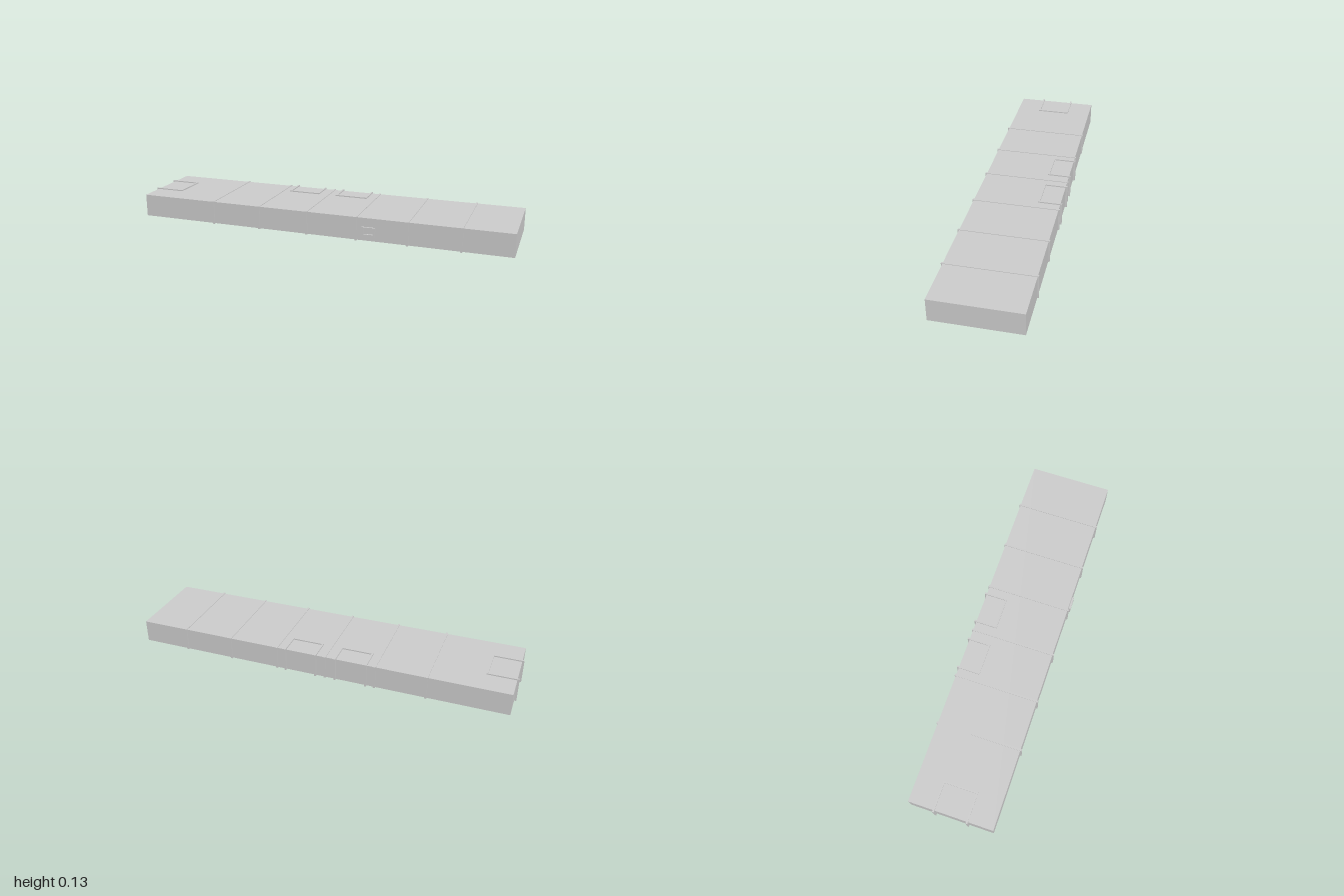
import * as THREE from 'three';

const material = new THREE.MeshStandardMaterial({ color: 0xcccccc });

// Body limits
const X0 = -0.99, X1 = 1, Y0 = 0.009, Y1 = 0.127, Z0 = -0.219, Z1 = 0.221;

// Box given by its lower and upper limits on each axis
function bar(parent, name, x0, x1, y0, y1, z0, z1) {
  const mesh = new THREE.Mesh(new THREE.BoxGeometry(x1 - x0, y1 - y0, z1 - z0), material);
  mesh.name = name;
  mesh.position.set((x0 + x1) / 2, (y0 + y1) / 2, (z0 + z1) / 2);
  parent.add(mesh);
}

function addGroup(parent, name) {
  const group = new THREE.Group();
  group.name = name;
  parent.add(group);
  return group;
}

// Thin strip round the slab, with a gap on the underside
function addBand(parent, x) {
  const g = addGroup(parent, 'band');
  const a = x - 0.005, b = x + 0.005, top = 0.13, low = 0.0065, back = -0.225, front = 0.228;
  bar(g, 'bandTop', a, b, Y1 - 0.002, top, back, front);
  bar(g, 'bandFront', a, b, low, top, Z1 - 0.002, front);
  bar(g, 'bandBack', a, b, low, top, back, Z0 + 0.002);
  bar(g, 'bandBottomLong', a, b, low, Y0 + 0.002, back, 0.082);
  bar(g, 'bandBottomShort', a, b, low, Y0 + 0.002, 0.157, front);
}

// U-shaped trim over the back edge: top, back and underside
function addBackTrim(parent, x0, x1) {
  const g = addGroup(parent, 'backTrim');
  const w = 0.009, inner = -0.105, back = -0.229, top = 0.133, low = 0.007;
  for (const [y0, y1] of [[Y1 - 0.002, top], [low, Y0 + 0.002]]) {
    bar(g, 'trimCrossbar', x0, x1, y0, y1, inner - w, inner);
    for (const x of [x0, x1 - w]) bar(g, 'trimArm', x, x + w, y0, y1, back, inner);
  }
  for (const x of [x0, x1 - w]) bar(g, 'trimUpright', x, x + w, low, top, back, Z0 + 0.002);
}

// The same trim over the narrow end
function addEndTrim(parent) {
  const g = addGroup(parent, 'endTrim');
  const w = 0.009, end = -1, inner = -0.84, z0 = -0.09, z1 = 0.092, top = 0.133, low = 0.007;
  for (const [y0, y1] of [[Y1 - 0.002, top], [low, Y0 + 0.002]]) {
    bar(g, 'trimCrossbar', inner - w, inner, y0, y1, z0, z1);
    for (const z of [z0, z1 - w]) bar(g, 'trimArm', end, inner, y0, y1, z, z + w);
  }
  for (const z of [z0, z1 - w]) bar(g, 'trimUpright', end, X0 + 0.002, low, top, z, z + w);
}

// Raised rectangular rim lying in the XY plane
function rim(name, width, height, wall, depth) {
  const rect = (Type, w, h) => new Type([
    new THREE.Vector2(-w / 2, -h / 2), new THREE.Vector2(w / 2, -h / 2),
    new THREE.Vector2(w / 2, h / 2), new THREE.Vector2(-w / 2, h / 2),
  ]);
  const shape = rect(THREE.Shape, width, height);
  shape.holes.push(rect(THREE.Path, width - 2 * wall, height - 2 * wall));
  const mesh = new THREE.Mesh(new THREE.ExtrudeGeometry(shape, { depth, bevelEnabled: false }), material);
  mesh.name = name;
  return mesh;
}

export function createModel() {
  const model = new THREE.Group();
  model.name = 'bandedSlab';

  bar(model, 'body', X0, X1, Y0, Y1, Z0, Z1);

  // Six evenly spaced bands
  for (let i = 0; i < 6; i++) addBand(model, -0.576 + i * 0.265);

  // Edge trims
  addBackTrim(model, -0.27, -0.097);
  addBackTrim(model, 0, 0.175);
  addEndTrim(model);

  // Small rim on the front face
  const frontRim = rim('frontRim', 0.07, 0.048, 0.011, 0.011);
  frontRim.position.set(0.285, 0.057, Z1 - 0.002);
  model.add(frontRim);

  // Small rim on the underside
  const bottomRim = rim('bottomRim', 0.125, 0.063, 0.01, 0.011);
  bottomRim.rotation.x = Math.PI / 2;
  bottomRim.position.set(-0.45, 0.011, 0.002);
  model.add(bottomRim);

  return model;
}
